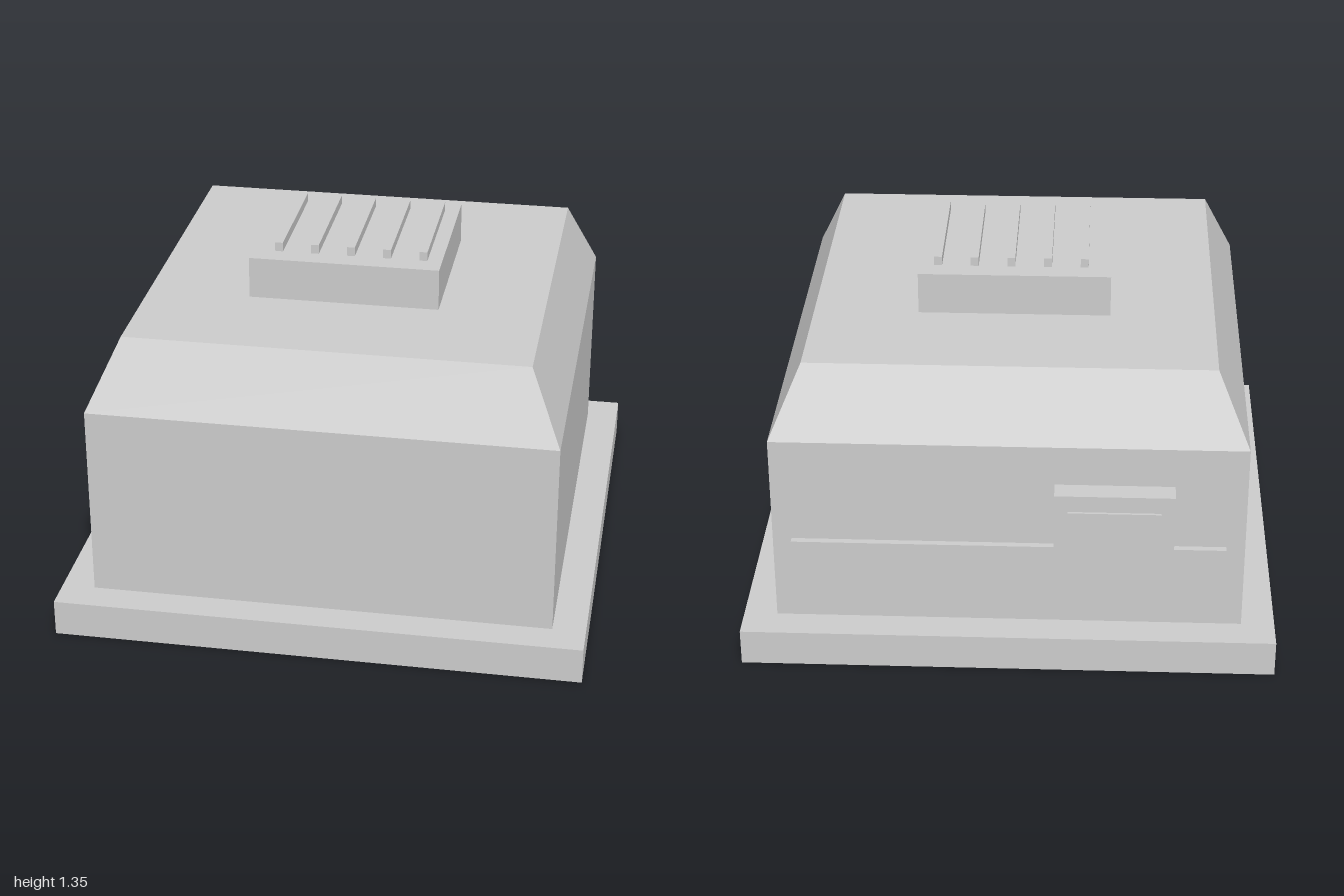
import * as THREE from 'three';

const material = new THREE.MeshStandardMaterial({ color: 0xcccccc, flatShading: true });

export function createModel() {
  const model = new THREE.Group();

  const add = (name, geometry) => {
    const mesh = new THREE.Mesh(geometry, material);
    mesh.name = name;
    model.add(mesh);
    return mesh;
  };

  // Box given by its extents along each axis
  const box = (name, [x0, x1], [y0, y1], [z0, z1]) =>
    add(name, new THREE.BoxGeometry(x1 - x0, y1 - y0, z1 - z0))
      .position.set((x0 + x1) / 2, (y0 + y1) / 2, (z0 + z1) / 2);

  // Base slab and main walls
  box('base', [-1, 1], [0, 0.14], [-1, 1]);
  box('walls', [-0.875, 0.875], [0.14, 0.89], [-0.875, 0.875]);

  // Sloped roof: a four-sided frustum turned square to the walls
  const roof = new THREE.CylinderGeometry(0.755 * Math.SQRT2, 0.875 * Math.SQRT2, 0.265, 4);
  roof.rotateY(Math.PI / 4);
  add('roof', roof).position.y = 0.89 + 0.265 / 2;

  // Roof vent with raised slats
  box('ventBox', [-0.363, 0.36], [1.155, 1.315], [-0.336, 0.332]);
  for (let i = 0; i < 5; i++) {
    const x = -0.263 + i * 0.138;
    box('ventSlat', [x - 0.015, x + 0.015], [1.315, 1.35], [-0.257, 0.25]);
  }

  // Rear trim strip and panel box
  box('rearStrip', [-0.805, 0.805], [0.38, 0.48], [-0.9, -0.875]);
  box('rearBox', [-0.61, -0.17], [0.48, 0.735], [-0.957, -0.875]);
  box('rearPanel', [-0.56, -0.22], [0.54, 0.67], [-0.967, -0.957]);

  return model;
}
